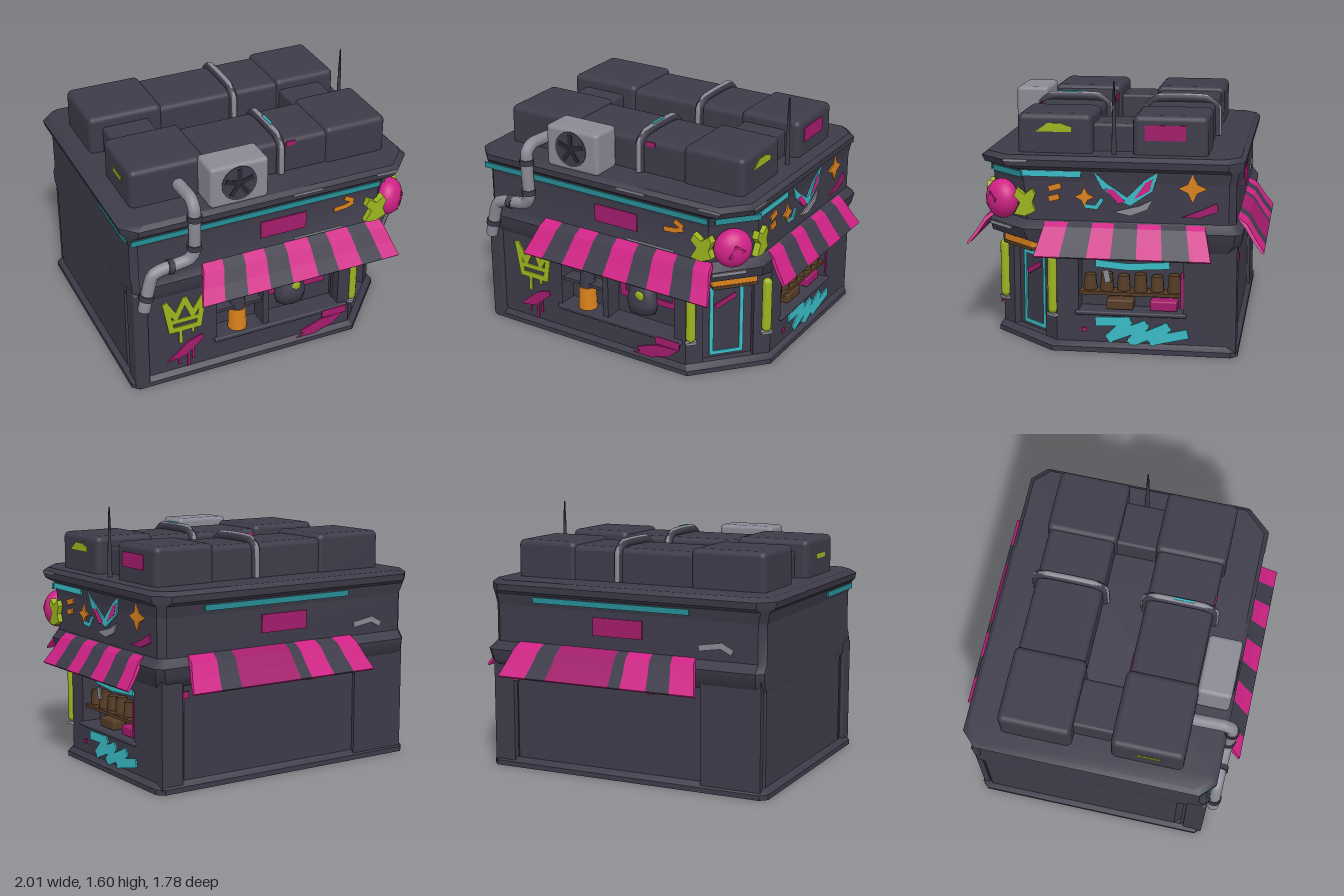
import * as THREE from 'three';
import { mergeGeometries, toCreasedNormals } from 'three/addons/utils/BufferGeometryUtils.js';
import { RoundedBoxGeometry } from 'three/addons/geometries/RoundedBoxGeometry.js';

const mat = (name, color) => { const m = new THREE.MeshStandardMaterial({ color }); m.name = name; return m; };

export function createModel() {
  const M = {
    wall: mat('charcoal wall', 0x3d3b49), dark: mat('near black', 0x27262f), grey: mat('metal grey', 0x8a8a95),
    pink: mat('hot pink', 0xcf2285), plum: mat('deep pink', 0xa31c6b), cyan: mat('cyan paint', 0x3abcc6),
    teal: mat('teal trim', 0x278d95), lime: mat('lime paint', 0x9db51f), orange: mat('orange', 0xd9821d), brown: mat('brown', 0x553b25),
  };
  const root = new THREE.Group();
  root.name = 'cornerShop';

  const add = (parent, name, geo, m, x = 0, y = 0, z = 0) => {
    const mesh = new THREE.Mesh(geo, m);
    mesh.name = name; mesh.position.set(x, y, z); parent.add(mesh);
    return mesh;
  };
  const box = (p, name, m, x0, x1, y0, y1, z0, z1, r = 0) => add(p, name,
    r ? new RoundedBoxGeometry(x1 - x0, y1 - y0, z1 - z0, 3, r) : new THREE.BoxGeometry(x1 - x0, y1 - y0, z1 - z0),
    m, (x0 + x1) / 2, (y0 + y1) / 2, (z0 + z1) / 2);

  // Stacked outlines: rectangle with small corner cuts r and a large front right cut c
  const outline = ([y, x0, x1, z0, z1, c, r = 0.04]) => [
    [x0 + r, z1], [x1 - c, z1], [x1, z1 - c * 1.1], [x1, z0 + r],
    [x1 - r, z0], [x0 + r, z0], [x0, z0 + r], [x0, z1 - r]].map(([x, z]) => [x, y, z]);
  const loft = (name, levels) => {
    const rings = levels.map(outline), pos = [], n = 8, lo = rings[0], hi = rings[rings.length - 1];
    const tri = (...p) => p.forEach(v => pos.push(...v));
    for (let k = 0; k + 1 < rings.length; k++) for (let i = 0; i < n; i++) {
      const j = (i + 1) % n, a = rings[k], b = rings[k + 1];
      tri(a[i], a[j], b[j]); tri(a[i], b[j], b[i]);
    }
    for (let i = 1; i < n - 1; i++) { tri(hi[0], hi[i], hi[i + 1]); tri(lo[0], lo[i + 1], lo[i]); }
    const g = new THREE.BufferGeometry();
    g.setAttribute('position', new THREE.Float32BufferAttribute(pos, 3));
    g.computeVertexNormals();
    add(root, name, toCreasedNormals(g, 0.6), M.wall);
  };

  // A face is a group whose local x runs along the wall and local z points out
  const face = (name, x, z, angle) => {
    const g = new THREE.Group();
    g.name = name; g.position.set(x, 0, z); g.rotation.y = angle; root.add(g);
    return g;
  };
  const vectors = pts => pts.map(p => new THREE.Vector2(...p));
  const rect = (x0, x1, y0, y1) => [[x0, y0], [x1, y0], [x1, y1], [x0, y1]];
  const plate = (p, name, m, pts, z = 0, depth = 0.009, holes = []) => {
    const s = new THREE.Shape(vectors(pts));
    holes.forEach(h => s.holes.push(new THREE.Path(vectors(rect(...h)))));
    add(p, name, new THREE.ExtrudeGeometry(s, { depth, bevelEnabled: false }), m, 0, 0, z);
  };
  const wallPanel = (p, name, x0, x1, hole, ...more) => plate(p, name, M.wall, rect(x0, x1, 0, 0.68), -0.12, 0.12, [hole, ...more]);
  const stroke = (p, name, m, pts, w, z = 0) => add(p, name, mergeGeometries(pts.slice(1).map((b, i) => {
    const a = pts[i], dx = b[0] - a[0], dy = b[1] - a[1];
    return new THREE.BoxGeometry(Math.hypot(dx, dy) + w * 0.7, w, 0.009)
      .rotateZ(Math.atan2(dy, dx)).translate((a[0] + b[0]) / 2, (a[1] + b[1]) / 2, 0);
  })), m, 0, 0, z + 0.004);
  const star = (p, x, y, r) => plate(p, 'paintedStar', M.orange, Array.from({ length: 8 }, (_, i) => {
    const a = i * Math.PI / 4, q = i % 2 ? r * 0.45 : r;
    return [x + q * Math.cos(a), y + q * Math.sin(a)];
  }));
  const lathe = pts => new THREE.LatheGeometry(vectors(pts), 16);
  const tube = (name, pts, r, m) => add(root, name, new THREE.TubeGeometry(
    new THREE.CatmullRomCurve3(pts.map(p => new THREE.Vector3(...p)), false, 'catmullrom', 0.2), 48, r, 10), m);

  // Building shell
  loft('groundFloorCore', [[0, -0.94, 0.74, -0.72, 0.6, 0.27], [0.68, -0.94, 0.74, -0.72, 0.6, 0.27]]);
  loft('plinth', [[0, -0.97, 0.885, -0.75, 0.745, 0.36], [0.03, -0.97, 0.885, -0.75, 0.745, 0.36], [0.06, -0.94, 0.86, -0.72, 0.72, 0.36]]);
  loft('upperFloor', [[0.62, -0.94, 0.86, -0.72, 0.72, 0.34], [0.67, -0.945, 0.885, -0.76, 0.75, 0.24], [0.74, -0.945, 0.9, -0.77, 0.76, 0.23],
    [0.79, -0.945, 0.86, -0.73, 0.73, 0.22], [1.03, -0.945, 0.86, -0.73, 0.73, 0.2]]);
  loft('cornice', [[1.02, -0.945, 0.86, -0.73, 0.73, 0.2], [1.09, -0.965, 0.87, -0.745, 0.745, 0.2], [1.11, -0.99, 0.89, -0.77, 0.77, 0.15, 0.08],
    [1.15, -1, 0.895, -0.775, 0.775, 0.13, 0.09], [1.175, -0.97, 0.87, -0.75, 0.75, 0.13, 0.09]]);

  const front = face('frontFace', 0, 0.72, 0), right = face('sideFace', 0.86, 0, Math.PI / 2), left = face('plainFace', -0.945, 0, -Math.PI / 2);
  const back = face('backFace', 0, -0.72, Math.PI), corner = face('cornerFace', 0.68, 0.52, Math.atan2(0.4, 0.36));
  wallPanel(front, 'frontWall', -0.93, 0.5, [-0.41, -0.1, 0.22, 0.57], [-0.06, 0.42, 0.22, 0.56]);
  wallPanel(right, 'sideWall', -0.32, 0.7, [-0.19, 0.43, 0.25, 0.56]);
  wallPanel(corner, 'doorWall', -0.269, 0.269, [-0.16, 0.16, 0.04, 0.6]);
  [[-0.86, -0.72], [0.55, 0.93]].forEach(([a, b]) => box(back, 'backPilaster', M.wall, a, b, 0.02, 0.7, -0.02, 0.02));
  box(front, 'leftPilaster', M.wall, -0.95, -0.86, 0, 0.7, -0.1, 0.025, 0.012);

  // Corner door, lamps, sign, ball and leaf ornaments
  box(corner, 'door', M.wall, -0.16, 0.16, 0.04, 0.6, -0.08, -0.045);
  stroke(corner, 'doorFrame', M.cyan, [[-0.095, 0.09], [0.095, 0.09], [0.095, 0.53], [-0.095, 0.53], [-0.095, 0.09]], 0.024, -0.045);
  stroke(corner, 'doorMark', M.plum, [[-0.06, 0.41], [0.05, 0.47]], 0.03, -0.045);
  for (const s of [-1, 1]) {
    add(corner, 'lampStrip', new THREE.CapsuleGeometry(0.031, 0.3, 4, 10), M.lime, s * 0.24, 0.4, 0.01).scale.z = 0.9;
    box(corner, 'lampFoot', M.grey, s * 0.24 - 0.035, s * 0.24 + 0.035, 0.205, 0.222, -0.02, 0.03);
  }
  box(corner, 'doorSign', M.orange, -0.13, 0.15, 0.605, 0.66, -0.01, 0.09, 0.01);
  box(corner, 'signEdge', M.brown, -0.13, 0.15, 0.595, 0.615, -0.01, 0.094);
  add(corner, 'ballOrnament', new THREE.IcosahedronGeometry(0.115, 4), M.pink, -0.035, 0.895, 0.165).scale.set(1, 1.03, 0.75);
  stroke(corner, 'ballFold', M.plum, [[-0.07, 0.87], [-0.04, 0.93], [0.0, 0.9]], 0.025, 0.24);
  const leaf = [[-0.07, -0.07], [0, -0.08], [0.07, -0.05], [0.05, 0], [0.07, 0.05], [0.05, 0.085], [0, 0.05], [-0.05, 0.085], [-0.07, 0.04], [-0.03, 0]];
  plate(front, 'leafOrnament', M.lime, leaf.map(([x, y]) => [0.63 + x, 0.895 + y]), 0, 0.05);
  plate(right, 'leafOrnament', M.lime, leaf.map(([x, y]) => [-0.5 + x * 0.9, 0.895 + y]), -0.01, 0.04);

  // Front window displays
  box(front, 'windowSill', M.wall, -0.43, 0.48, 0.19, 0.22, -0.05, 0.025, 0.01);
  box(front, 'windowShelf', M.wall, -0.41, -0.1, 0.38, 0.4, -0.12, -0.02);
  add(front, 'displayBottle', lathe([[0, 0], [0.055, 0], [0.05, 0.16], [0.045, 0.25], [0.05, 0.3], [0, 0.31]]), M.wall, -0.25, 0.22, -0.055);
  add(front, 'bottleBase', new THREE.CylinderGeometry(0.054, 0.06, 0.15, 14), M.orange, -0.25, 0.295, -0.055);
  plate(front, 'pinkPoster', M.plum, rect(-0.38, -0.31, 0.43, 0.5), -0.12);
  stroke(front, 'windowPinkFrame', M.plum, [[-0.02, 0.36], [0.36, 0.36], [0.36, 0.51], [-0.02, 0.51], [-0.02, 0.36]], 0.04, -0.12);
  add(front, 'displayPot', lathe([[0, 0], [0.09, 0], [0.105, 0.06], [0.075, 0.21], [0, 0.22]]), M.wall, 0.13, 0.28, -0.1).scale.z = 0.7;
  add(front, 'potMark', new THREE.SphereGeometry(0.032, 10, 6), M.lime, 0.145, 0.41, -0.042).scale.z = 0.3;
  plate(front, 'sillPaint', M.plum, rect(0.3, 0.47, 0.16, 0.212), 0.02);

  // Side window display
  box(right, 'sideSill', M.wall, -0.21, 0.45, 0.225, 0.25, -0.05, 0.02, 0.01);
  box(right, 'foodShelf', M.brown, -0.19, 0.43, 0.34, 0.36, -0.12, -0.02);
  for (let i = 0; i < 6; i++) add(right, 'shelfJar', new THREE.CylinderGeometry(0.035, 0.042, 0.09 + 0.02 * (i % 2), 10), M.brown, -0.13 + i * 0.1, 0.41, -0.07);
  box(right, 'brownCrate', M.brown, -0.03, 0.13, 0.25, 0.31, -0.12, -0.03, 0.01);
  box(right, 'pinkCrate', M.plum, 0.23, 0.39, 0.25, 0.31, -0.12, -0.03, 0.01);
  plate(right, 'pinkWindowEdge', M.plum, rect(0.415, 0.432, 0.28, 0.5), -0.005);
  stroke(right, 'windowTubeLight', M.cyan, [[-0.08, 0.525], [0.1, 0.51], [0.33, 0.525]], 0.042, -0.05);
  stroke(right, 'hangingDrip', M.grey, [[-0.03, 0.48], [-0.02, 0.43]], 0.035, -0.03);

  // Striped awnings, flaring towards the hem
  const awning = (p, name, edges, z, paint) => {
    const mid = (edges[0] + edges[edges.length - 1]) / 2;
    const profile = new THREE.Shape(vectors([[0, 0.775], [0.05, 0.735], [0.1, 0.66], [0.155, 0.595], [0.165, 0.605], [0.11, 0.68], [0.06, 0.76], [0, 0.8]]));
    edges.slice(1).forEach((b, i) => {
      const g = new THREE.ExtrudeGeometry(profile, { depth: b - edges[i], bevelEnabled: false }).rotateY(-Math.PI / 2).translate(b, 0, 0);
      const q = g.attributes.position;
      for (let k = 0; k < q.count; k++) q.setX(k, mid + (q.getX(k) - mid) * (1 - 0.5 * (q.getY(k) - 0.6)));
      g.computeVertexNormals();
      add(p, name, g, paint[i % paint.length], 0, 0, z);
    });
  };
  awning(front, 'frontAwning', [-0.57, -0.43, -0.28, -0.13, 0.02, 0.19, 0.33, 0.49, 0.63, 0.745], 0.005, [M.pink, M.wall]);
  awning(right, 'sideAwning', [-0.43, -0.28, -0.12, 0.02, 0.17, 0.32, 0.48, 0.6], -0.02, [M.pink, M.wall]);
  awning(back, 'backAwning', [-0.74, -0.55, -0.41, 0.02, 0.1, 0.27, 0.42, 0.58], 0.005, [M.pink, M.wall, M.plum, M.wall, M.pink, M.wall, M.pink]);

  // Flat trims, signs, worn edges and paint spots: face, name, colour, x0, x1, y0, y1, offset
  [[front, 'frontTrim', M.teal, -0.95, 0.66, 1.045, 1.08, 0.022], [corner, 'cornerTrim', M.teal, -0.14, 0.14, 1.045, 1.08, 0.145],
    [right, 'sideTrim', M.cyan, -0.53, -0.17, 1.05, 1.085, 0.006], [back, 'backTrim', M.teal, -0.57, 0.48, 1.045, 1.08, 0.022],
    [left, 'plainTrim', M.teal, 0.25, 0.7, 1.045, 1.08, 0.014], [front, 'frontSign', M.plum, -0.13, 0.17, 0.875, 0.985, 0.009],
    [back, 'backSign', M.plum, -0.16, 0.17, 0.875, 0.985, 0.009], [front, 'wornEdge', M.grey, 0.06, 0.25, 1.14, 1.152, 0.05],
    [front, 'wornEdge', M.grey, 0.62, 0.76, 1.14, 1.152, 0.05], [right, 'wornEdge', M.grey, -0.62, -0.48, 1.14, 1.152, 0.03],
    [front, 'wornLedge', M.grey, 0.1, 0.42, 0.805, 0.815, 0.006], [corner, 'wornLedge', M.grey, -0.16, 0.05, 0.72, 0.74, 0.16],
    [back, 'paintSpot', M.plum, -0.72, -0.68, 0.55, 0.59, 0.016], [back, 'paintSpot', M.plum, 0.2, 0.24, 0.55, 0.58, 0],
    [right, 'paintSpot', M.plum, -0.17, -0.14, 0.12, 0.145, 0], [front, 'unitSpot', M.plum, 0.12, 0.18, 1.345, 1.375, -0.18],
    [right, 'unitPinkPaint', M.plum, 0.19, 0.43, 1.26, 1.35, -0.079], [left, 'unitLimePaint', M.lime, 0.28, 0.42, 1.28, 1.31, -0.076],
    [back, 'unitSpot', M.plum, 0.28, 0.4, 1.325, 1.36, -0.86],
  ].forEach(([p, name, m, x0, x1, y0, y1, z]) => plate(p, name, m, rect(x0, x1, y0, y1), z));

  // Brush strokes: face, name, colour, width, path
  [[front, 'orangeMark', M.orange, 0.03, [[0.37, 0.945], [0.43, 0.95], [0.48, 0.965]], 0.009], [front, 'orangeMark', M.orange, 0.03, [[0.44, 1.005], [0.48, 0.985]], 0.009],
    [front, 'crownPaint', M.lime, 0.036, [[-0.745, 0.56], [-0.71, 0.36], [-0.53, 0.36], [-0.5, 0.56], [-0.57, 0.45], [-0.62, 0.57], [-0.68, 0.45], [-0.745, 0.56]]],
    [front, 'crownBand', M.lime, 0.03, [[-0.7, 0.42], [-0.54, 0.42]]], [front, 'crownDrip', M.lime, 0.022, [[-0.65, 0.36], [-0.65, 0.26]]],
    [front, 'crownDrip', M.lime, 0.018, [[-0.57, 0.36], [-0.57, 0.32]]], [front, 'pinkDrip', M.plum, 0.015, [[-0.66, 0.17], [-0.66, 0.1]]],
    [front, 'pinkDrip', M.plum, 0.015, [[-0.6, 0.17], [-0.6, 0.07]]], [front, 'pinkDrip', M.plum, 0.015, [[-0.57, 0.2], [-0.57, 0.12]]],
    [right, 'orangeMark', M.orange, 0.034, [[-0.35, 0.98], [-0.3, 0.995]]], [right, 'orangeMark', M.orange, 0.034, [[-0.35, 0.92], [-0.31, 0.93]]],
    [right, 'birdTrail', M.cyan, 0.024, [[-0.14, 0.88], [-0.08, 0.875], [-0.05, 0.92]]], [back, 'wornMark', M.grey, 0.035, [[0.55, 0.86], [0.68, 0.88], [0.74, 0.85]], 0.012],
    [right, 'zigzagPaint', M.cyan, 0.055, [[-0.07, 0.185], [0.1, 0.19], [0, 0.09], [0.2, 0.17], [0.13, 0.07], [0.33, 0.16], [0.25, 0.08], [0.44, 0.125]]],
  ].forEach(([p, name, m, w, pts, z]) => stroke(p, name, m, pts, w, z));

  // Filled wall paintings
  plate(front, 'pinkSlash', M.plum, [[-0.74, 0.13], [-0.62, 0.15], [-0.5, 0.25], [-0.51, 0.28], [-0.6, 0.25]]);
  plate(front, 'pinkScrawl', M.plum, [[0.04, 0.02], [0.22, 0.02], [0.3, 0.06], [0.38, 0.08], [0.46, 0.15], [0.3, 0.14], [0.16, 0.09], [0.18, 0.06]], 0.004);
  star(right, -0.15, 0.935, 0.06);
  star(right, 0.48, 1, 0.085);
  plate(right, 'birdWings', M.cyan, [[-0.09, 1.08], [-0.02, 1.02], [0.1, 0.94], [0.2, 1.04], [0.28, 1.09], [0.25, 0.98], [0.12, 0.89], [0.04, 0.92], [-0.05, 0.99]]);
  plate(right, 'birdWingFill', M.pink, [[-0.03, 0.985], [0.02, 0.985], [0.09, 0.915], [0.05, 0.9]], 0.002);
  plate(right, 'birdWingFill', M.pink, [[0.14, 0.93], [0.21, 1.03], [0.25, 1.05], [0.23, 0.98]], 0.002);
  plate(right, 'birdTail', M.grey, [[0.02, 0.85], [0.12, 0.83], [0.22, 0.87], [0.25, 0.93], [0.17, 0.89], [0.09, 0.87]]);
  plate(right, 'pinkSlash', M.plum, [[0.42, 0.83], [0.52, 0.83], [0.63, 0.87], [0.62, 0.92], [0.54, 0.88]]);
  plate(right, 'unitLimePaint', M.lime, [[-0.45, 1.3], [-0.24, 1.3], [-0.24, 1.33], [-0.3, 1.35], [-0.38, 1.35]], -0.079);

  // Roof units with a well between them, straps with a worn outer edge
  for (const s of [-1, 1]) {
    const z = s * 0.34;
    box(root, 'unitLeftEnd', M.wall, -0.875, -0.4, 1.1, 1.41, z - 0.22, z + 0.22, 0.035);
    box(root, 'unitMiddle', M.wall, -0.5, 0.5, 1.1, 1.385, z - 0.205, z + 0.205, 0.035);
    box(root, 'unitRightEnd', M.wall, 0.38, 0.785, 1.1, 1.405, z - 0.22, z + 0.22, 0.035);
    for (const [o, r, m] of [[0, 0.026, M.wall], [0.012, 0.017, M.grey]]) tube('roofStrap', [[0.08, 1.18, z - 0.215 - o], [0.08, 1.36, z - 0.21 - o],
      [0.08, 1.405 + o, z - 0.15], [0.08, 1.41 + o, z], [0.08, 1.405 + o, z + 0.15], [0.08, 1.36, z + 0.21 + o], [0.08, 1.18, z + 0.215 + o]], r, m);
  }
  box(root, 'strapPaint', M.cyan, 0.075, 0.09, 1.425, 1.442, 0.3, 0.42);
  box(root, 'unitLinkLeft', M.wall, -0.79, -0.49, 1.1, 1.34, -0.2, 0.2, 0.02);
  box(root, 'unitLinkRight', M.wall, 0.4, 0.69, 1.1, 1.34, -0.2, 0.2, 0.02);

  // Fan box
  box(root, 'fanBox', M.grey, -0.46, -0.09, 1.17, 1.435, 0.55, 0.755, 0.025);
  add(root, 'fanOpening', new THREE.CylinderGeometry(0.11, 0.11, 0.008, 28).rotateX(Math.PI / 2), M.wall, -0.28, 1.31, 0.756);
  for (let i = 0; i < 5; i++) add(root, 'fanBlade', new THREE.BoxGeometry(0.03, 0.085, 0.008).translate(0, 0.05, 0), M.dark, -0.28, 1.31, 0.76).rotation.z = i * Math.PI * 0.4;

  // Drain pipe with collars, and aerial
  tube('drainPipe', [[-0.58, 1.27, 0.56], [-0.58, 1.28, 0.74], [-0.58, 1.24, 0.795], [-0.58, 1.1, 0.8], [-0.58, 0.94, 0.79], [-0.62, 0.89, 0.785],
    [-0.78, 0.865, 0.78], [-0.84, 0.84, 0.78], [-0.865, 0.76, 0.78], [-0.9, 0.61, 0.78]], 0.038, M.grey);
  [[-0.58, 1.18, 0.8, 0], [-0.58, 0.98, 0.793, 0], [-0.73, 0.873, 0.782, 1.4], [-0.88, 0.7, 0.78, -0.2]].forEach(([x, y, z, a]) => {
    add(root, 'pipeCollar', new THREE.CylinderGeometry(0.045, 0.045, 0.035, 12), M.wall, x, y, z).rotation.z = a;
  });
  add(root, 'aerialMast', new THREE.CylinderGeometry(0.009, 0.016, 0.3, 8), M.wall, 0.77, 1.31, -0.01);
  add(root, 'aerialTip', new THREE.CylinderGeometry(0.004, 0.01, 0.14, 8), M.dark, 0.77, 1.53, -0.01);
  return root;
}
